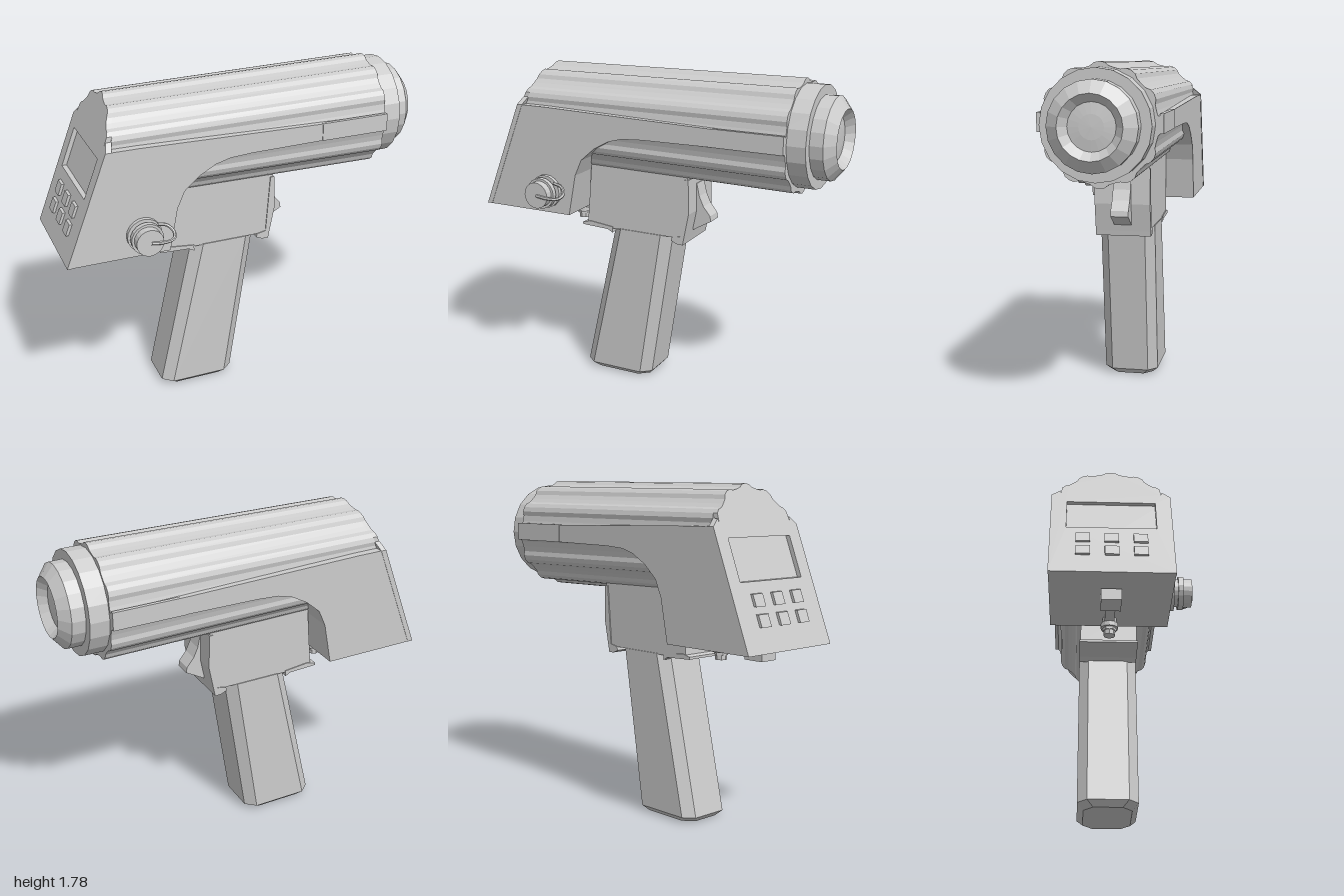
import * as THREE from 'three';

const AXIS_Y = 1.48, HALF = 0.305, REAR_SLOPE = 0.392;
const rearX = (y) => -1 + (y - 0.97) * REAR_SLOPE;

export function createModel() {
  const model = new THREE.Group();
  model.name = 'handheldScanner';
  const tool = new THREE.Group();
  tool.name = 'tool';
  tool.position.z = -0.06; // everything below is symmetric about this plane
  model.add(tool);

  const mat = new THREE.MeshStandardMaterial({ color: 0xcccccc, flatShading: true, side: THREE.DoubleSide });
  const add = (name, geo, x = 0, y = 0, z = 0) => {
    const m = new THREE.Mesh(geo, mat);
    m.name = name;
    m.position.set(x, y, z);
    tool.add(m);
    return m;
  };
  const shapeOf = (pts) => new THREE.Shape(pts.map(([a, b]) => new THREE.Vector2(a, b)));

  // side profile extruded across the width
  const slab = (name, pts, width, z = 0) => {
    const g = new THREE.ExtrudeGeometry(shapeOf(pts), { depth: width, bevelEnabled: false });
    g.translate(0, 0, z - width / 2);
    return add(name, g);
  };
  // move vertices by a rule
  const warp = (g, rule) => {
    const p = g.attributes.position, v = new THREE.Vector3();
    for (let i = 0; i < p.count; i++) {
      rule(v.fromBufferAttribute(p, i));
      p.setXYZ(i, v.x, v.y, v.z);
    }
    g.computeVertexNormals();
    return g;
  };
  // lean a rear part with the sloping back
  const shear = (g) => warp(g, (v) => { v.x += rearX(v.y); });

  // twelve-ribbed barrel section, clockwise from the top
  const section = (scale) => {
    const pts = [];
    for (let i = 0; i < 12; i++) {
      for (const [deg, r] of [[-9, 0.284], [-5, 0.297], [0, 0.301], [5, 0.297], [9, 0.284], [15, 0.281]]) {
        const a = THREE.MathUtils.degToRad(i * 30 + deg);
        pts.push([Math.sin(a) * r * scale, Math.cos(a) * r * scale + AXIS_Y]);
      }
    }
    return pts;
  };

  // ribbed barrel, slightly narrower at the sloping rear
  const barrel = new THREE.ExtrudeGeometry(shapeOf(section(1)), { depth: 1, bevelEnabled: false });
  barrel.rotateY(Math.PI / 2);
  warp(barrel, (v) => {
    if (v.x > 0.5) { v.x = 0.78; return; }
    v.y = AXIS_Y + (v.y - AXIS_Y) * 0.94;
    v.z *= 0.97;
    v.x = rearX(v.y) + 0.028;
  });
  add('barrel', barrel);

  // rear body with side rails sweeping forward
  slab('rearBody', [
    [rearX(0.97) + 0.025, 0.97], [-0.455, 0.97], [-0.41, 1.2], [-0.37, 1.29], [-0.29, 1.36],
    [-0.2, 1.41], [-0.12, 1.432], [0.0, 1.44], [0.78, 1.45], [0.78, 1.53], [-0.6, 1.56], [rearX(1.56) + 0.025, 1.56],
  ], HALF * 2 - 0.004);
  for (const s of [-1, 1]) add('sidePanel', new THREE.BoxGeometry(0.38, 0.095, 0.02), 0.59, 1.493, s * 0.297);

  // sloping rear panel with a screen recess
  const top = section(1).map(([u, y]) => [u * 0.97, AXIS_Y + (y - AXIS_Y) * 0.94])
    .filter(([, y]) => y > 1.57).sort((a, b) => b[0] - a[0]);
  const panel = shapeOf([[-HALF, 0.97], [HALF, 0.97], [HALF, 1.56], ...top, [-HALF, 1.56]]);
  panel.holes.push(shapeOf([[-0.225, 1.3], [-0.225, 1.505], [0.225, 1.505], [0.225, 1.3]]));
  const panelGeo = new THREE.ExtrudeGeometry(panel, { depth: 0.03, bevelEnabled: false });
  panelGeo.rotateY(Math.PI / 2);
  add('rearPanel', shear(panelGeo));

  // six keys
  for (const y of [1.12, 1.215]) {
    for (const z of [-0.142, 0, 0.142]) {
      const g = new THREE.BoxGeometry(0.03, 0.06, 0.07);
      g.translate(0, y, z);
      add('key', shear(g));
    }
  }

  // stepped nose with recessed lens
  const turned = (name, pts, sides) => {
    const g = new THREE.LatheGeometry(pts.map(([r, x]) => new THREE.Vector2(r, x)), sides);
    g.rotateZ(-Math.PI / 2);
    return add(name, g, 0, AXIS_Y + 0.007, 0);
  };
  turned('noseRings', [
    [0.268, 0.76], [0.268, 0.88], [0.217, 0.88], [0.217, 0.95], [0.155, 1.0], [0.115, 0.955],
  ], 20);
  turned('lens', [[0.117, 0.955], [0.06, 0.962], [0, 0.964]], 20);

  // grip housing, lower lip and front plate
  slab('gripHousing', [
    [-0.40, 1.23], [0.19, 1.23], [0.19, 1.0], [0.165, 0.88], [-0.28, 0.875], [-0.43, 0.89], [-0.41, 1.1],
  ], 0.29);
  slab('housingLip', [[-0.46, 0.875], [-0.46, 0.888], [-0.41, 0.9], [-0.27, 0.885], [-0.27, 0.852], [-0.3, 0.868]], 0.3);
  slab('frontPlate', [
    [0.175, 1.21], [0.197, 1.21], [0.2, 1.02], [0.17, 0.87], [0.165, 0.843], [0.13, 0.845], [0.095, 0.86], [0.1, 0.88], [0.15, 0.89],
  ], 0.3);

  // trigger
  slab('trigger', [
    [0.18, 1.18], [0.2, 1.17], [0.215, 1.1], [0.24, 1.045], [0.28, 0.995], [0.285, 0.965], [0.24, 0.94], [0.18, 0.905],
  ], 0.095);

  // grip: octagon loops joined from bottom to top
  const loops = [
    [0, -0.435, -0.075, 0.12], [0.03, -0.465, -0.048, 0.15], [0.88, -0.272, 0.085, 0.15],
  ].map(([y, x0, x1, h]) => {
    const cx = 0.055, cz = 0.048;
    return [[x0 + cx, h], [x1 - cx, h], [x1, h - cz], [x1, cz - h], [x1 - cx, -h], [x0 + cx, -h], [x0, cz - h], [x0, h - cz]]
      .map(([x, z]) => [x, y, z]);
  });
  const verts = loops.flat(2), index = [];
  for (let l = 0; l < loops.length - 1; l++) {
    for (let i = 0; i < 8; i++) {
      const a = l * 8 + i, b = l * 8 + (i + 1) % 8;
      index.push(a, b, b + 8, a, b + 8, a + 8);
    }
  }
  for (let i = 1; i < 7; i++) index.push(0, i + 1, i, 16, 16 + i, 17 + i);
  const grip = new THREE.BufferGeometry();
  grip.setAttribute('position', new THREE.Float32BufferAttribute(verts, 3));
  grip.setIndex(index);
  grip.computeVertexNormals();
  add('grip', grip);

  // side connector with cap and tether
  const disc = (name, r, z0, z1, sides = 20) => {
    const g = new THREE.CylinderGeometry(r, r, z1 - z0, sides);
    g.rotateX(Math.PI / 2);
    return add(name, g, -0.595, 1.092, (z0 + z1) / 2);
  };
  disc('connectorFlange', 0.092, 0.295, 0.325);
  disc('connectorNeck', 0.07, 0.325, 0.35);
  disc('connectorCollar', 0.085, 0.345, 0.372);
  disc('connectorCap', 0.072, 0.372, 0.415);
  const tether = new THREE.CatmullRomCurve3([
    [-0.53, 1.15, 0.335], [-0.48, 1.135, 0.335], [-0.452, 1.105, 0.36], [-0.465, 1.085, 0.395], [-0.52, 1.085, 0.418], [-0.59, 1.092, 0.416],
  ].map((p) => new THREE.Vector3(...p)));
  add('tether', new THREE.TubeGeometry(tether, 20, 0.009, 6));

  // latch under the rear body
  add('latchBlock', new THREE.BoxGeometry(0.115, 0.06, 0.1), -0.803, 0.93, 0);
  add('latchArm', new THREE.BoxGeometry(0.31, 0.022, 0.05), -0.605, 0.945, 0);
  for (const [r, y0, y1, n] of [[0.03, 0.87, 0.975, 8], [0.045, 0.91, 0.935, 12], [0.036, 0.895, 0.97, 6]])
    add('latchKnob', new THREE.CylinderGeometry(r, r, y1 - y0, n), -0.54, (y0 + y1) / 2, 0);

  return model;
}
